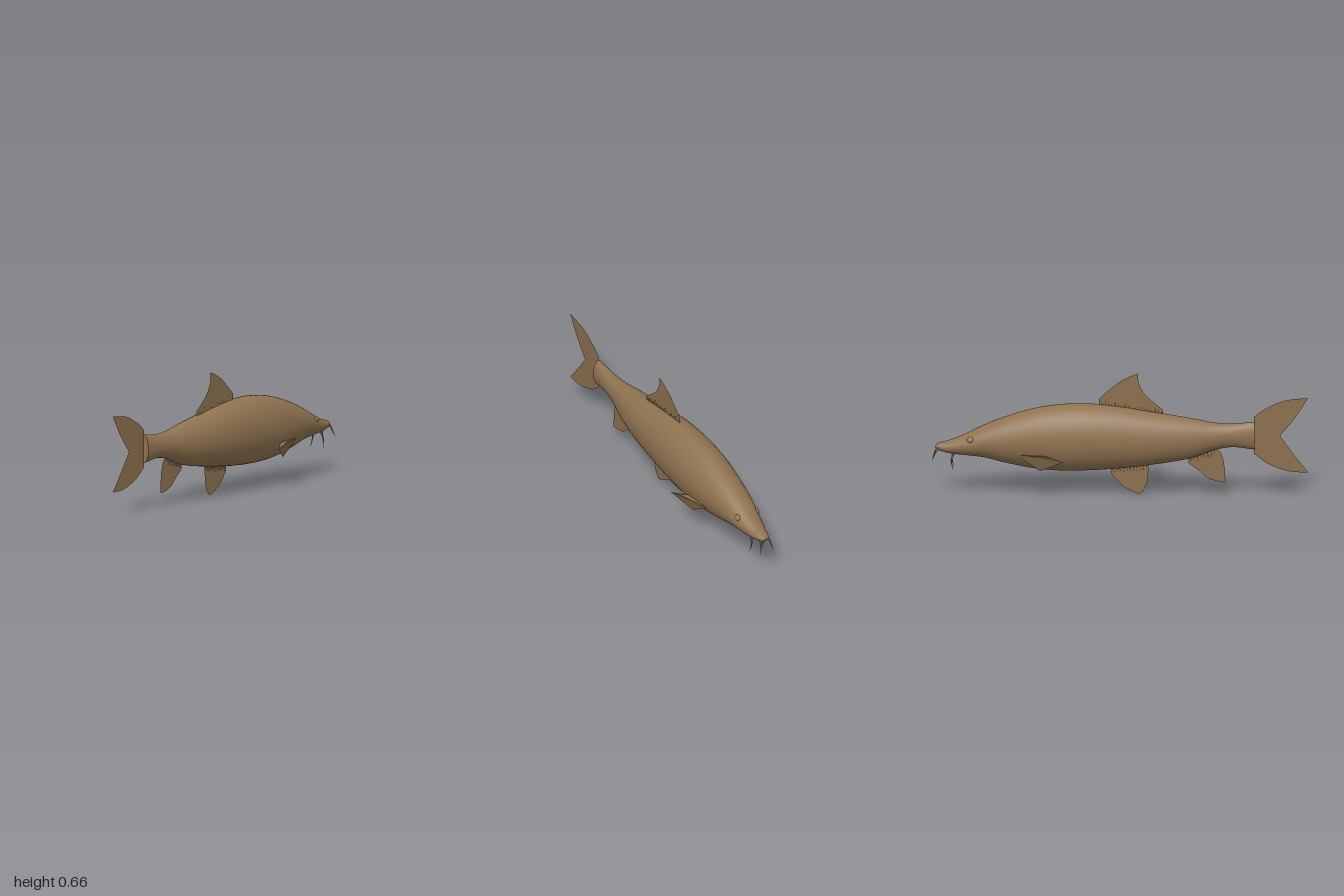
import * as THREE from 'three';
import { mergeVertices } from 'three/addons/utils/BufferGeometryUtils.js';

const skin = new THREE.MeshStandardMaterial({ color: 0x8f7350 });
skin.name = 'brownSkin';
const finSkin = new THREE.MeshStandardMaterial({ color: 0x8a6f4d, side: THREE.DoubleSide });
finSkin.name = 'brownFin';

// Stations along the body: x, top, bottom, half width
const stations = [
  [-0.715, 0.407, 0.255, 0.032], [-0.6, 0.395, 0.267, 0.042], [-0.5, 0.399, 0.25, 0.054],
  [-0.4, 0.417, 0.212, 0.073], [-0.3, 0.433, 0.188, 0.09], [-0.15, 0.457, 0.164, 0.108],
  [0, 0.48, 0.146, 0.12], [0.15, 0.493, 0.134, 0.128], [0.3, 0.49, 0.13, 0.13],
  [0.45, 0.467, 0.14, 0.123], [0.6, 0.422, 0.168, 0.106], [0.72, 0.373, 0.197, 0.087],
  [0.82, 0.323, 0.208, 0.067], [0.9, 0.289, 0.216, 0.047], [0.95, 0.275, 0.228, 0.034],
  [0.975, 0.266, 0.238, 0.022], [0.982, 0.252, 0.25, 0.002],
];
const curve = (pick) => new THREE.CatmullRomCurve3(
  stations.map((s) => new THREE.Vector3(...pick(s))), false, 'catmullrom');
const heights = curve(([x, top, bottom]) => [x, top, bottom]);
const widths = curve(([x, , , w]) => [x, w, 0]);

function add(group, name, geometry, material) {
  const mesh = new THREE.Mesh(geometry, material);
  mesh.name = name;
  group.add(mesh);
  return mesh;
}

// Tube bent into the elliptical body sections
function bodyGeometry() {
  let g = new THREE.CylinderGeometry(1, 1, 1, 48, 96, true);
  const p = g.attributes.position;
  for (let i = 0; i < p.count; i++) {
    const t = p.getY(i) + 0.5;
    const h = heights.getPoint(t), w = widths.getPoint(t).y;
    const side = p.getZ(i), up = -p.getX(i);
    p.setXYZ(i, h.x, (h.y + h.z) / 2 + up * (h.y - h.z) / 2, side * w);
  }
  g.deleteAttribute('uv');
  g.deleteAttribute('normal');
  g = mergeVertices(g, 1e-5);
  g.computeVertexNormals();
  return g;
}

// Flat fin in the centre plane; each segment is a smooth run of outline points
function finGeometry(start, segments) {
  const shape = new THREE.Shape();
  shape.moveTo(...start);
  for (const s of segments) shape.splineThru(s.map(([x, y]) => new THREE.Vector2(x, y)));
  return new THREE.ShapeGeometry(shape, 10);
}

// Row of little ray roots where a fin meets the back or belly
function rayRoots(group, name, x0, y0, x1, y1, up) {
  const roots = new THREE.Group();
  roots.name = name;
  const n = Math.round((x1 - x0) / 0.018);
  for (let i = 0; i <= n; i++) {
    const k = i / n;
    const m = add(roots, 'rayRoot', new THREE.ConeGeometry(0.005, 0.035 + 0.012 * (i % 3), 5), skin);
    m.position.set(x0 + (x1 - x0) * k, y0 + (y1 - y0) * k, 0);
    m.rotation.z = up ? 0.25 : Math.PI - 0.25;
  }
  group.add(roots);
}

// Tapered whisker along a curve
function barbelGeometry(points, radius) {
  const path = new THREE.CatmullRomCurve3(points.map((q) => new THREE.Vector3(...q)));
  const rows = 12, sides = 8;
  const g = new THREE.TubeGeometry(path, rows, radius, sides);
  const p = g.attributes.position, v = new THREE.Vector3();
  for (let i = 0; i < p.count; i++) {
    const t = Math.floor(i / (sides + 1)) / rows;
    const c = path.getPointAt(t);
    v.fromBufferAttribute(p, i).sub(c).multiplyScalar(1 - 0.9 * t).add(c);
    p.setXYZ(i, v.x, v.y, v.z);
  }
  return g;
}

// Folded paired fin from four corners
function pectoralGeometry(s) {
  const g = new THREE.BufferGeometry();
  const a = [0.55, 0.237, 0.103 * s], b = [0.37, 0.242, 0.166 * s];
  const c = [0.295, 0.215, 0.17 * s], d = [0.42, 0.15, 0.106 * s], e = [0.4, 0.232, 0.104 * s];
  const tris = [a, c, b, a, d, c, a, b, e, b, c, e];
  g.setAttribute('position', new THREE.Float32BufferAttribute(tris.flat(), 3));
  g.computeVertexNormals();
  return g;
}

export function createModel() {
  const fish = new THREE.Group();
  fish.name = 'fish';

  // Body and its blunt tail end
  add(fish, 'body', bodyGeometry(), skin);
  const end = add(fish, 'tailStemEnd', new THREE.CircleGeometry(1, 32), skin);
  end.scale.set(0.032, 0.076, 1);
  end.rotation.y = -Math.PI / 2;
  end.position.set(-0.715, 0.331, 0);

  // Fins on the centre plane
  add(fish, 'tailFin', finGeometry([-0.712, 0.232], [
    [[-0.712, 0.434]],
    [[-0.78, 0.482], [-0.88, 0.525], [-1, 0.54]],
    [[-0.93, 0.43], [-0.85, 0.332]],
    [[-0.92, 0.235], [-1, 0.132]],
    [[-0.9, 0.137], [-0.79, 0.175], [-0.712, 0.232]],
  ]), finSkin);
  add(fish, 'dorsalFin', finGeometry([0.112, 0.47], [
    [[0.112, 0.522]],
    [[0.06, 0.57], [0.0, 0.618], [-0.06, 0.65], [-0.095, 0.662]],
    [[-0.1, 0.61], [-0.13, 0.552], [-0.18, 0.505], [-0.228, 0.468]],
    [[-0.228, 0.42]],
  ]), finSkin);
  add(fish, 'pelvicFin', finGeometry([-0.152, 0.19], [
    [[-0.152, 0.145]],
    [[-0.145, 0.075], [-0.128, 0.03], [-0.103, 0.002]],
    [[-0.05, 0.025], [0.0, 0.06], [0.045, 0.112]],
    [[0.045, 0.17]],
  ]), finSkin);
  add(fish, 'analFin', finGeometry([-0.505, 0.27], [
    [[-0.54, 0.225], [-0.556, 0.15], [-0.56, 0.072]],
    [[-0.52, 0.077], [-0.46, 0.098], [-0.42, 0.135], [-0.365, 0.175]],
    [[-0.365, 0.23]],
  ]), finSkin);
  rayRoots(fish, 'dorsalRays', -0.22, 0.45, 0.1, 0.488, true);
  rayRoots(fish, 'pelvicRays', -0.14, 0.157, 0.035, 0.138, false);
  rayRoots(fish, 'analRays', -0.5, 0.245, -0.375, 0.2, false);

  // Paired details
  for (const s of [1, -1]) {
    const side = s > 0 ? 'near' : 'far';
    add(fish, side + 'PectoralFin', pectoralGeometry(s), finSkin);
    add(fish, side + 'SnoutBarbel', barbelGeometry(
      [[0.965, 0.25, 0.024 * s], [0.982, 0.222, 0.03 * s], [0.998, 0.18, 0.04 * s]], 0.006), skin);
    add(fish, side + 'CheekBarbel', barbelGeometry(
      [[0.88, 0.225, 0.028 * s], [0.895, 0.185, 0.034 * s], [0.885, 0.132, 0.042 * s]], 0.006), skin);
    const eye = add(fish, side + 'Eye', new THREE.SphereGeometry(0.018, 20, 14), skin);
    eye.scale.set(1, 0.9, 0.5);
    eye.position.set(0.795, 0.305, 0.062 * s);
    eye.rotation.set(-0.5 * s, 0.25 * s, 0);
  }
  return fish;
}
